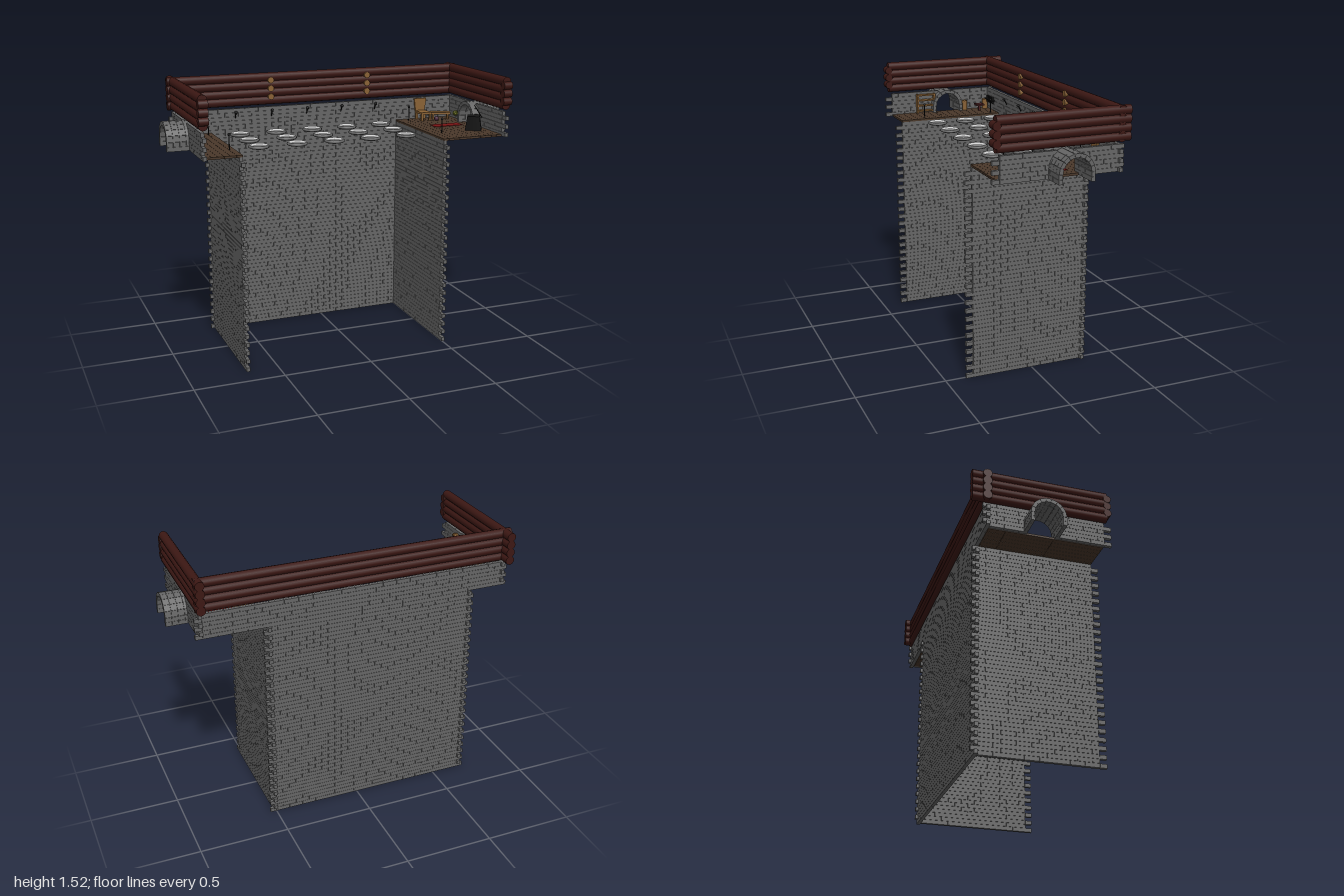
import * as THREE from 'three';
import { mergeGeometries } from 'three/addons/utils/BufferGeometryUtils.js';

const mat = (color, extra = {}) => new THREE.MeshStandardMaterial({ color, ...extra });
const STONE = mat(0x666666), LOG = mat(0x3d1814), PLANK = mat(0x4a382a), WOOD = mat(0x8a6235);
const IRON = mat(0x151515), PALE = mat(0xcccccc), GREY = mat(0x808080), RED = mat(0x7a1414);
const GAP = 0.0012, COURSE = 0.0236, BRICK = 0.08, FLOOR = 1.18;

// Box given by its minimum and maximum corners
function span(x0, x1, y0, y1, z0, z1) {
  return new THREE.BoxGeometry(x1 - x0, y1 - y0, z1 - z0)
    .translate((x0 + x1) / 2, (y0 + y1) / 2, (z0 + z1) / 2);
}
function add(parent, name, geo, material, x = 0, y = 0, z = 0) {
  const m = new THREE.Mesh(Array.isArray(geo) ? mergeGeometries(geo) : geo, material);
  m.name = name;
  m.position.set(x, y, z);
  parent.add(m);
  return m;
}

// Arch opening: semicircle on short straight jambs
const ARCH = { z: -0.01, spring: FLOOR + 0.05, outer: 0.098, inner: 0.077 };
function archHalfWidth(y) {
  const d = Math.max(0, y - ARCH.spring);
  return d < ARCH.outer ? Math.sqrt(ARCH.outer ** 2 - d * d) - 0.008 : 0;
}

// Running-bond wall; ends[0] and ends[1] are the extents of even and odd courses
function brickWall(along, at, thick, y0, courses, ends, hasArch = false) {
  const parts = [];
  const brick = (a, b, y) => {
    if (b - a < 0.004) return;
    const lo = y + GAP / 2, hi = y + COURSE - GAP / 2;
    a += GAP / 2; b -= GAP / 2;
    parts.push(along === 'x' ? span(a, b, lo, hi, at, at + thick) : span(at, at + thick, lo, hi, a, b));
  };
  for (let i = 0; i < courses; i++) {
    const y = y0 + i * COURSE, [start, end] = ends[i % 2];
    const w = hasArch ? archHalfWidth(y + COURSE / 2) : 0;
    const h0 = ARCH.z - w, h1 = ARCH.z + w;
    const grid = ends[0][0] + (i % 2) * BRICK / 2 - BRICK;
    for (let a = grid; a < end; a += BRICK) {
      const s = Math.max(a, start), e = Math.min(a + BRICK, end);
      if (w > 0) {
        brick(s, Math.min(e, h0), y);
        brick(Math.max(s, h1), e, y);
      } else brick(s, e, y);
    }
  }
  return parts;
}

// One ring of arch stones running from x0 to x1
function archRing(x0, x1, inner, outer, stones = 9) {
  const parts = [], depth = x1 - x0 - GAP;
  const { z, spring } = ARCH;
  for (let i = 0; i < stones; i++) {
    const a = (i / stones) * Math.PI + 0.006, b = ((i + 1) / stones) * Math.PI - 0.006;
    const s = new THREE.Shape([[inner, a], [outer, a], [outer, b], [inner, b]]
      .map(([r, t]) => new THREE.Vector2(r * Math.cos(t), r * Math.sin(t))));
    parts.push(new THREE.ExtrudeGeometry(s, { depth, bevelEnabled: false })
      .rotateY(Math.PI / 2).translate(x0, spring, z).toNonIndexed());
  }
  for (const s of [-1, 1]) for (let k = 0; k < 2; k++) {
    const y = FLOOR + k * 0.025, e = [z + s * inner, z + s * outer].sort((p, q) => p - q);
    parts.push(span(x0, x0 + depth, y, y + 0.025 - GAP, e[0], e[1]).toNonIndexed());
  }
  return parts.map(g => g.index ? g.toNonIndexed() : g);
}

function log(axis, a, b, y, c, r = 0.0255) {
  const g = new THREE.CylinderGeometry(r, r, b - a, 12);
  return axis === 'x' ? g.rotateZ(Math.PI / 2).translate((a + b) / 2, y, c)
    : g.rotateX(Math.PI / 2).translate(c, y, (a + b) / 2);
}

export function createModel() {
  const model = new THREE.Group();
  model.name = 'pitHall';

  // Pit walls, with interlocked corners and toothed front edges
  add(model, 'pitBackWall', brickWall('x', -0.315, 0.02, 0, 50, [[-0.7, 0.535], [-0.66, 0.495]]), STONE);
  const sideEnds = [[-0.295, 0.385], [-0.33, 0.345]];
  add(model, 'pitRightWall', brickWall('z', -0.68, 0.02, 0, 50, sideEnds), STONE);
  add(model, 'pitLeftWall', brickWall('z', 0.495, 0.02, 0, 50, sideEnds), STONE);

  // Upper walls, side ones pierced by an arch
  add(model, 'upperBackWall', brickWall('x', -0.315, 0.02, FLOOR, 6, [[-0.9, 0.9], [-0.86, 0.86]]), STONE);
  add(model, 'upperRightWall', brickWall('z', -0.88, 0.02, FLOOR, 6, sideEnds, true), STONE);
  add(model, 'upperLeftWall', brickWall('z', 0.86, 0.02, FLOOR, 6, sideEnds, true), STONE);

  // Vaulted tunnels with a thicker stone surround inside
  for (const s of [-1, 1]) {
    const parts = archRing(s > 0 ? 0.815 : -0.86, s > 0 ? 0.86 : -0.815, ARCH.inner, ARCH.outer);
    for (let i = 0; i < 4; i++) {
      const a = 0.86 + i * 0.035, b = a + 0.035;
      parts.push(...archRing(s > 0 ? a : -b, s > 0 ? b : -a, ARCH.inner, ARCH.outer));
    }
    add(model, 'archTunnel', parts, STONE);
  }

  // Log courses on top of the walls
  const logs = [];
  for (let i = 0; i < 4; i++) {
    const y = 1.358 + i * 0.0447;
    logs.push(log('x', -0.905, 0.89, y, -0.31));
    logs.push(log('z', -0.39, 0.365, y, -0.87), log('z', -0.36, 0.365, y, 0.87));
  }
  for (let i = 0; i < 3; i++) for (const x of [-0.87, 0.87])
    logs.push(log('x', x - 0.026, x + 0.026, 1.38 + i * 0.0447, 0.365, 0.022));
  add(model, 'logCourses', logs, LOG);
  const stubs = [];
  for (const x of [-0.305, 0.295]) for (let i = 0; i < 3; i++)
    stubs.push(log('z', -0.32, -0.277, 1.38 + i * 0.0477, x, 0.018));
  add(model, 'logEnds', stubs, WOOD);

  // Plank floors of the two ledges
  for (const [x0, x1, name] of [[-0.86, -0.66, 'rightLedge'], [0.495, 0.86, 'leftLedge']]) {
    const planks = [], n = Math.round((x1 - x0) / 0.033), w = (x1 - x0) / n;
    for (let i = 0; i < n; i++) for (const [a, b] of [[-0.295, -0.2], [-0.2, 0.065], [0.065, 0.345]])
      planks.push(span(x0 + i * w + GAP / 2, x0 + (i + 1) * w - GAP / 2, 1.178, 1.19, a + GAP / 2, b - GAP / 2));
    add(model, name, planks, PLANK);
  }

  // Floating round stepping stones
  const rim = [[0.0, 1.182], [0.05, 1.182], [0.057, 1.186], [0.057, 1.194], [0.05, 1.199]];
  const ring = [[0.05, 1.199], [0.044, 1.199], [0.036, 1.193]];
  const lathe = pts => new THREE.LatheGeometry(pts.map(p => new THREE.Vector2(...p)), 14);
  const xs = [-0.52, -0.303, -0.086, 0.131, 0.348];
  for (const x of xs) for (const z of [-0.195, -0.015, 0.165]) {
    const stone = new THREE.Group();
    stone.name = 'steppingStone';
    stone.position.set(x, 0, z);
    add(stone, 'rim', lathe(rim), STONE);
    add(stone, 'innerRing', lathe(ring), PALE);
    add(stone, 'centre', new THREE.CylinderGeometry(0.037, 0.037, 0.008, 14), GREY, 0, 1.189, 0);
    model.add(stone);
  }

  // Wall torches and ledge posts
  for (const x of xs) {
    const t = add(model, 'wallTorch', [
      new THREE.CylinderGeometry(0.004, 0.003, 0.04, 6),
      new THREE.SphereGeometry(0.009, 8, 6).translate(0, 0.02, 0)], IRON, x, 1.285, -0.28);
    t.rotation.x = 0.5;
  }
  for (const x of [-0.69, 0.56]) for (const z of [-0.25, 0.19])
    add(model, 'ledgePost', [
      new THREE.CylinderGeometry(0.003, 0.003, 0.085, 6),
      new THREE.SphereGeometry(0.008, 8, 6).translate(0, 0.04, 0)], IRON, x, 1.232, z);

  // Left ledge furnishings
  add(model, 'carpet', span(0.61, 0.79, 1.19, 1.193, -0.06, 0.01), RED);
  const chair = () => {
    const parts = [span(-0.033, 0.033, 0.04, 0.052, -0.03, 0.06)];
    for (const x of [-0.026, 0.026]) for (const z of [-0.025, 0.052])
      parts.push(span(x - 0.006, x + 0.006, 0, 0.04, z - 0.006, z + 0.006));
    const back = span(-0.04, 0.04, 0.03, 0.125, -0.042, -0.03), p = back.attributes.position;
    for (let i = 0; i < p.count; i++) if (p.getY(i) < 0.05) p.setX(i, p.getX(i) * 0.7);
    return [...parts, back];
  };
  add(model, 'chair', chair(), WOOD, 0.65, 1.19, -0.25);
  const bench = add(model, 'bench', [span(-0.06, 0.06, 0.03, 0.042, -0.03, 0.03),
    span(-0.05, -0.04, 0, 0.03, -0.025, 0.025), span(0.04, 0.05, 0, 0.03, -0.025, 0.025)], WOOD, 0.765, 1.19, -0.235);
  bench.rotation.y = -0.35;
  add(model, 'pot', new THREE.SphereGeometry(0.014, 10, 8), mat(0x4a2a3c), 0.71, 1.204, -0.175);
  add(model, 'plant', new THREE.IcosahedronGeometry(0.018, 0), mat(0x6f7420, { flatShading: true }), 0.835, 1.23, -0.17);
  const brazier = add(model, 'blackChest', new THREE.CylinderGeometry(0.05, 0.066, 0.08, 4, 1), IRON, 0.785, 1.23, 0.15);
  brazier.rotation.y = 0.25;
  const poker = add(model, 'poker', new THREE.CylinderGeometry(0.003, 0.003, 0.09, 6), IRON, 0.82, 1.29, 0.14);
  poker.rotation.z = 0.6;

  // Right ledge furnishings
  add(model, 'smallTable', [span(-0.025, 0.025, 0.035, 0.045, -0.025, 0.025),
    span(-0.006, 0.006, 0, 0.035, -0.006, 0.006)], mat(0x4a2020), -0.77, 1.19, -0.205);
  const rack = [];
  for (const z of [0.07, 0.18]) rack.push(span(-0.855, -0.83, 1.19, 1.31, z, z + 0.01));
  for (let i = 0; i < 4; i++) rack.push(span(-0.855, -0.825, 1.2 + i * 0.033, 1.208 + i * 0.033, 0.07, 0.19));
  add(model, 'rack', rack, WOOD);
  const shelf = [span(-0.84, -0.72, 1.25, 1.256, -0.295, -0.27)];
  for (let i = 0; i < 4; i++) shelf.push(span(-0.825 + i * 0.028, -0.815 + i * 0.028, 1.235, 1.275, -0.29, -0.277));
  add(model, 'wallShelf', shelf, IRON);
  for (const z of [-0.27, -0.13])
    add(model, 'keg', new THREE.CylinderGeometry(0.018, 0.018, 0.06, 10), WOOD, -0.838, 1.22, z);

  return model;
}
